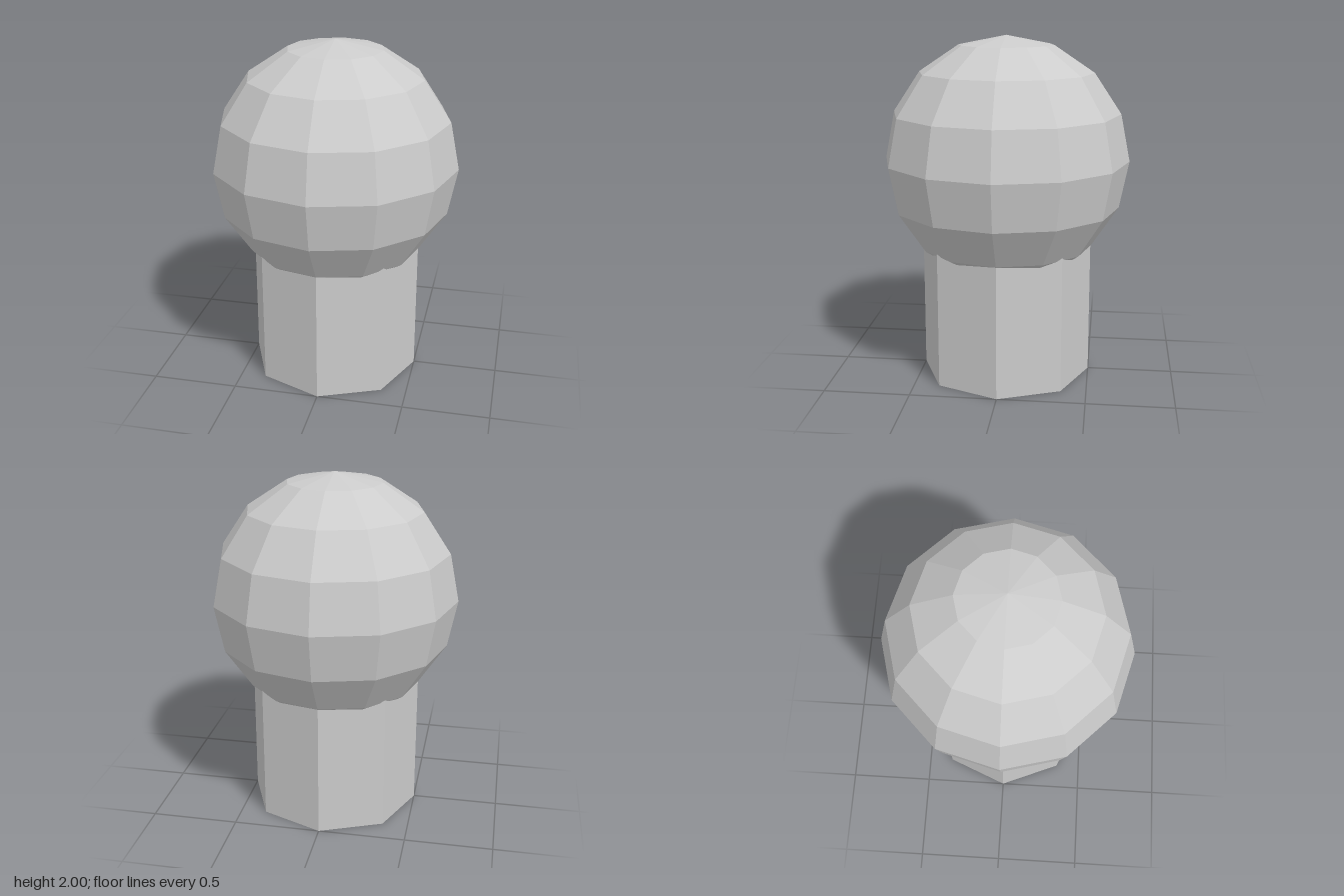
import * as THREE from 'three';

export function createModel() {
  const group = new THREE.Group();
  group.name = 'roundTopPost';
  const material = new THREE.MeshStandardMaterial({ color: 0xcccccc, flatShading: true });

  const add = (name, geometry, y) => {
    const mesh = new THREE.Mesh(geometry, material);
    mesh.name = name;
    mesh.position.y = y;
    group.add(mesh);
  };

  // Eight-sided stem, its top sunk into the ball
  const stemHeight = 0.857;
  add('stem', new THREE.CylinderGeometry(0.5, 0.5, stemHeight, 8), stemHeight / 2);

  // Faceted ball resting on the stem
  const ballRadius = 0.7143;
  add('ball', new THREE.SphereGeometry(ballRadius, 12, 8), 2 - ballRadius);

  return group;
}
